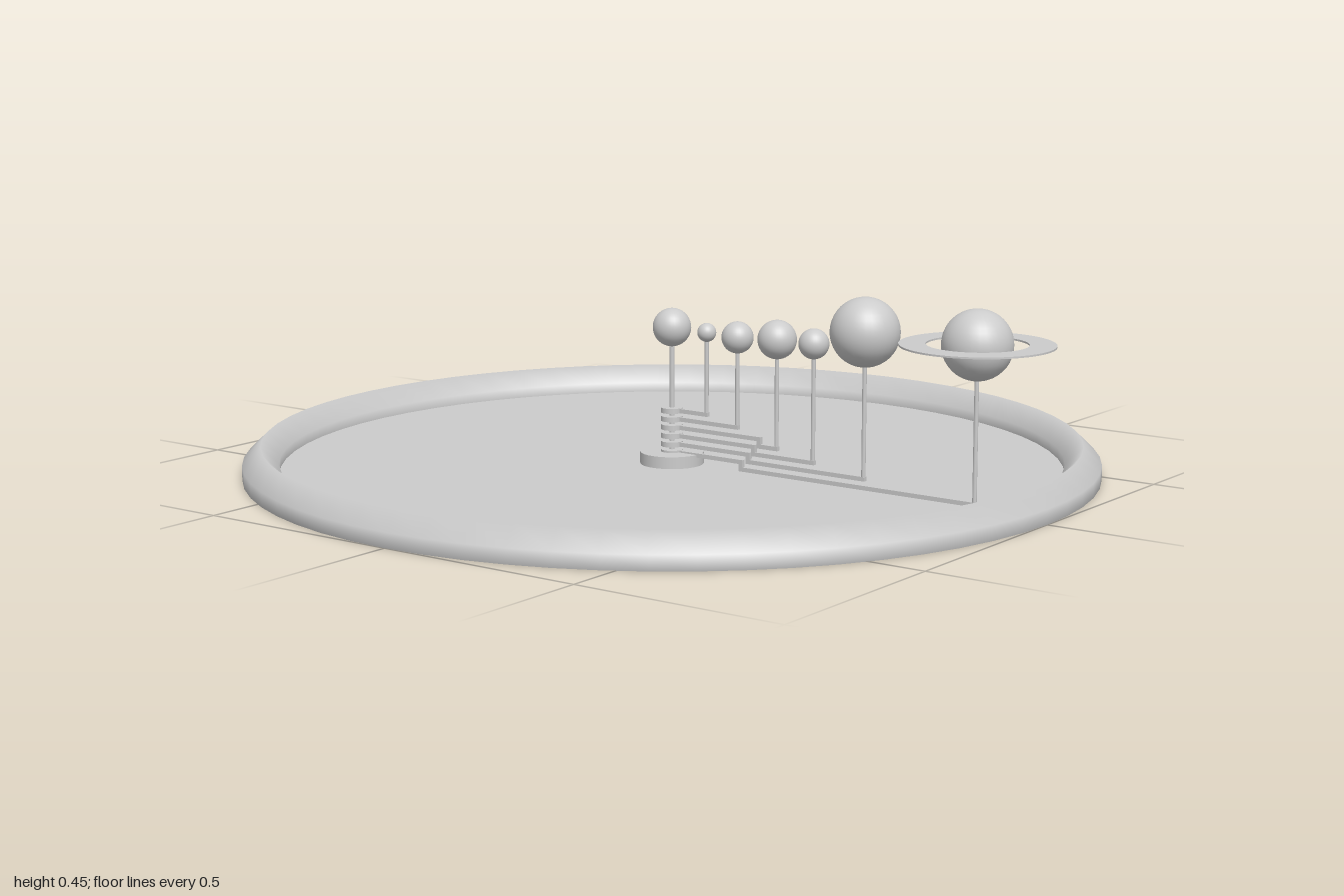
import * as THREE from 'three';

export function createModel() {
  const model = new THREE.Group();
  const mat = new THREE.MeshStandardMaterial({ color: 0xcccccc });
  const matDouble = new THREE.MeshStandardMaterial({ color: 0xcccccc, side: THREE.DoubleSide });

  const add = (parent, name, geometry, x = 0, y = 0, z = 0, material = mat) => {
    const mesh = new THREE.Mesh(geometry, material);
    mesh.name = name;
    mesh.position.set(x, y, z);
    parent.add(mesh);
    return mesh;
  };
  // upright round rod from y0 to y1
  const rod = (parent, name, r, x, y0, y1, sides = 16) =>
    add(parent, name, new THREE.CylinderGeometry(r, r, y1 - y0, sides), x, (y0 + y1) / 2);
  // level bar along x
  const bar = (parent, name, x0, x1, y) =>
    add(parent, name, new THREE.BoxGeometry(x1 - x0, T, T), (x0 + x1) / 2, y);
  const T = 0.01;

  // Tray: floor disc with a raised, chamfered rim
  add(model, 'trayFloor', new THREE.CylinderGeometry(0.99, 0.99, 0.01, 64), 0, 0.005);
  const rim = [[0.99, 0], [1, 0], [1, 0.034], [0.957, 0.076], [0.915, 0.034], [0.915, 0.008]];
  add(model, 'trayRim', new THREE.LatheGeometry(rim.map(p => new THREE.Vector2(...p)), 64), 0, 0, 0, matDouble);

  // Hub and centre post with the central ball
  rod(model, 'hub', 0.075, 0, 0.01, 0.038, 32);
  rod(model, 'centrePost', 0.006, 0, 0.03, 0.32);
  add(model, 'centreBall', new THREE.SphereGeometry(0.045, 32, 20), 0, 0.333);

  // Planets: distance, ball height, ball radius, where the arm steps down (0 = straight)
  const planets = [
    [0.1, 0.33, 0.022, 0],
    [0.187, 0.327, 0.037, 0],
    [0.297, 0.333, 0.045, 0.25],
    [0.397, 0.333, 0.035, 0.235],
    [0.533, 0.373, 0.079, 0.22],
    [0.82, 0.373, 0.079, 0.2],
  ];
  planets.forEach(([x, y, r, step], i) => {
    const g = new THREE.Group();
    g.name = 'planetArm' + (i + 1);
    model.add(g);
    const high = 0.137 - 0.02 * i;
    const low = step ? high - 0.017 : high;
    rod(g, 'collar', 0.026, 0, high - 0.006, high + 0.006, 24);
    if (step) {
      bar(g, 'innerArm', 0, step + T / 2, high);
      add(g, 'armStep', new THREE.BoxGeometry(T, high - low + T, T), step, (high + low) / 2);
    }
    bar(g, 'arm', step ? step - T / 2 : 0, x + T / 2, low);
    rod(g, 'post', 0.005, x, low, y);
    add(g, 'planet', new THREE.SphereGeometry(r, 32, 20), x, y);
  });

  // Flat ring around the outermost planet
  const ring = [[0.112, -0.002], [0.171, -0.002], [0.171, 0.002], [0.112, 0.002], [0.112, -0.002]];
  const ringGeometry = new THREE.LatheGeometry(ring.map(p => new THREE.Vector2(...p)), 64).toNonIndexed();
  ringGeometry.computeVertexNormals();
  add(model, 'planetRing', ringGeometry, 0.82, 0.373, 0, matDouble);

  return model;
}
